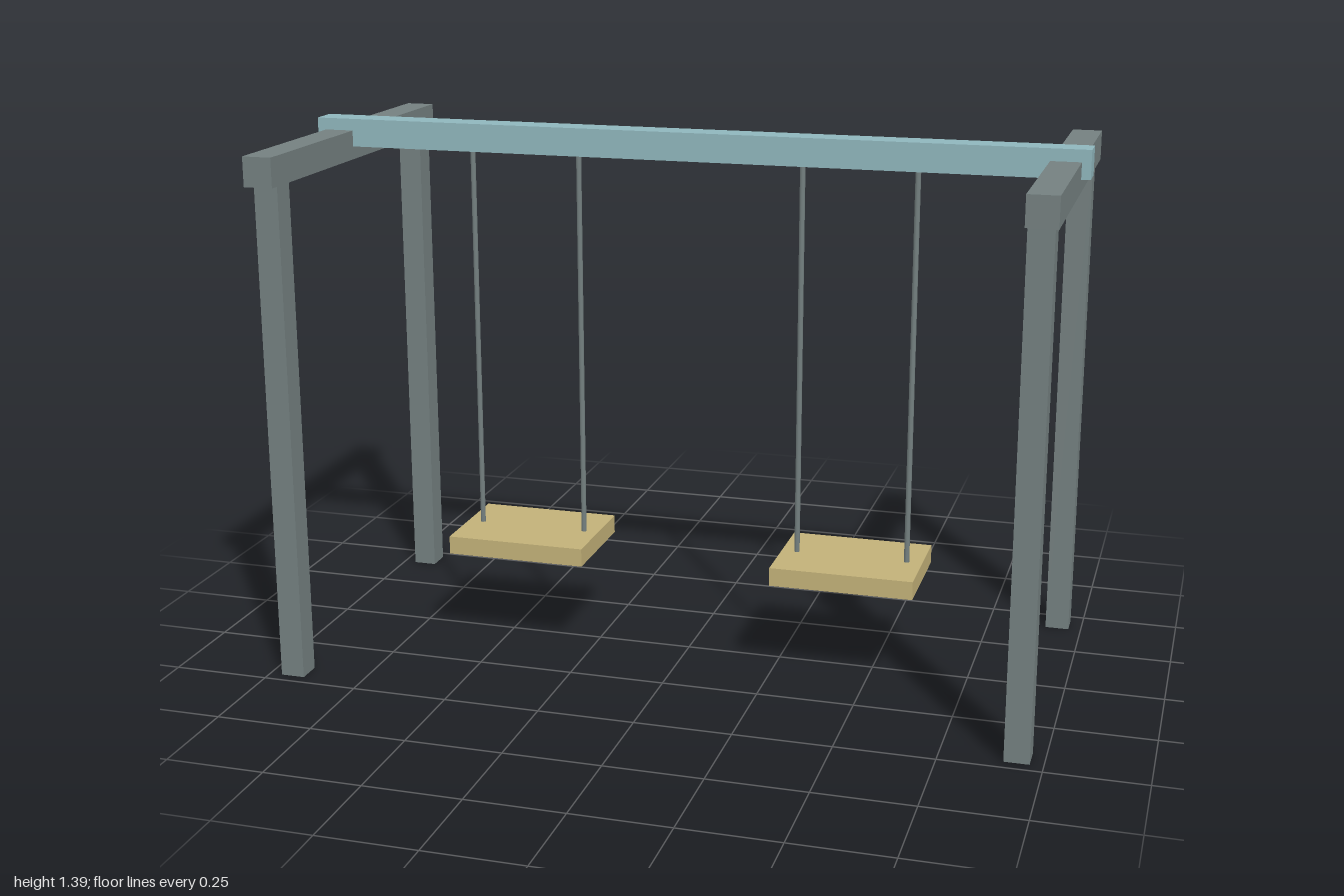
import * as THREE from 'three';

export function createModel() {
  const model = new THREE.Group();
  model.name = 'swingSet';

  const material = (name, color) => {
    const m = new THREE.MeshStandardMaterial({ color });
    m.name = name;
    return m;
  };
  const steel = material('greySteel', 0x748080);
  const teal = material('paleTeal', 0x8fb6bc);
  const wood = material('tanWood', 0xc2b178);

  const add = (name, geometry, mat, x, y, z) => {
    const mesh = new THREE.Mesh(geometry, mat);
    mesh.name = name;
    mesh.position.set(x, y, z);
    model.add(mesh);
  };

  const postGeometry = new THREE.BoxGeometry(0.062, 1.29, 0.064);
  const endBeamGeometry = new THREE.BoxGeometry(0.075, 0.075, 1);
  const seatGeometry = new THREE.BoxGeometry(0.37, 0.048, 0.284);
  const ropeGeometry = new THREE.CylinderGeometry(0.007, 0.007, 1.03, 8);

  // Long beam carrying both swings
  add('topBeam', new THREE.BoxGeometry(2, 0.072, 0.072), teal, 0, 1.354, 0);

  for (const side of [1, -1]) {
    const label = side > 0 ? 'left' : 'right';

    // End frame: cross beam on two posts
    add(label + 'EndBeam', endBeamGeometry, steel, side * 0.94, 1.322, 0);
    add(label + 'FrontPost', postGeometry, steel, side * 0.936, 0.645, 0.437);
    add(label + 'BackPost', postGeometry, steel, side * 0.936, 0.645, -0.437);

    // Swing: seat hanging from two rods
    add(label + 'Seat', seatGeometry, wood, side * 0.438, 0.278, 0);
    add(label + 'InnerRod', ropeGeometry, steel, side * 0.293, 0.81, 0);
    add(label + 'OuterRod', ropeGeometry, steel, side * 0.582, 0.81, 0);
  }
  return model;
}
